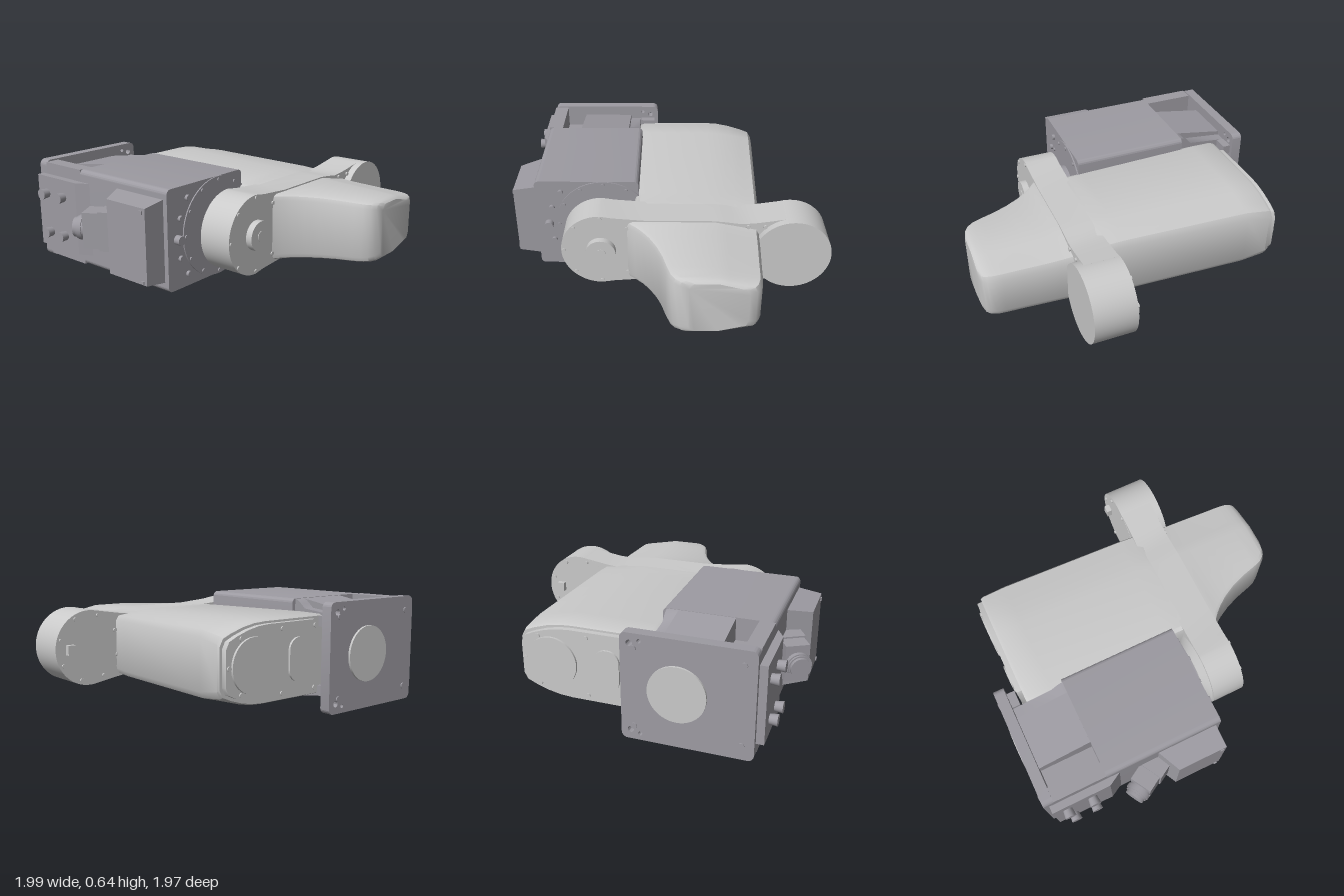
import * as THREE from 'three';
import { toCreasedNormals } from 'three/addons/utils/BufferGeometryUtils.js';

const CY = 0.33; // height of the mechanical centre line

export function createModel() {
  const model = new THREE.Group();
  model.name = 'foldedArm';
  const mat = (name, color) => Object.assign(new THREE.MeshStandardMaterial({ color }), { name });
  const light = mat('lightGrey', 0xcacaca);
  const base = mat('baseGrey', 0x9d9ba2);

  const add = (name, geometry, material) => {
    const mesh = new THREE.Mesh(geometry, material);
    mesh.name = name;
    model.add(mesh);
    return mesh;
  };
  const box = (name, m, x0, x1, y0, y1, z0, z1) => {
    const mesh = add(name, new THREE.BoxGeometry(x1 - x0, y1 - y0, z1 - z0), m);
    mesh.position.set((x0 + x1) / 2, (y0 + y1) / 2, (z0 + z1) / 2);
  };
  // Cylinder lying along z
  const disc = (name, m, x, y, r, z0, z1, seg = 48) => {
    const g = new THREE.CylinderGeometry(r, r, z1 - z0, seg).rotateX(Math.PI / 2);
    add(name, g, m).position.set(x, y, (z0 + z1) / 2);
  };
  const boltRing = (name, m, x, r, count, z0, z1, start = 0) => {
    for (let i = 0; i < count; i++) {
      const a = start + (i / count) * Math.PI * 2;
      disc(name, m, x + r * Math.cos(a), CY + r * Math.sin(a), 0.012, z0, z1, 10);
    }
  };
  const extrude = (name, m, shape, z0, z1) => {
    const g = new THREE.ExtrudeGeometry(shape, { depth: z1 - z0, bevelEnabled: false, curveSegments: 24 });
    g.translate(0, 0, z0);
    add(name, toCreasedNormals(g, 0.6), m);
  };
  const roundRect = (x0, x1, y0, y1, r) => {
    const s = new THREE.Shape();
    s.moveTo(x0 + r, y0);
    s.lineTo(x1 - r, y0).absarc(x1 - r, y0 + r, r, -Math.PI / 2, 0);
    s.lineTo(x1, y1 - r).absarc(x1 - r, y1 - r, r, 0, Math.PI / 2);
    s.lineTo(x0 + r, y1).absarc(x0 + r, y1 - r, r, Math.PI / 2, Math.PI);
    s.lineTo(x0, y0 + r).absarc(x0 + r, y0 + r, r, Math.PI, Math.PI * 1.5);
    return s;
  };
  const polygon = (pts) => new THREE.Shape(pts.map(([x, y]) => new THREE.Vector2(x, y)));
  // Solid mirrored about the centre line, from [depth behind the front, half height] points
  const slab = (name, pts, x0, x1) => {
    const outline = [...pts.map(([z, h]) => [z, CY + h]), ...pts.slice().reverse().map(([z, h]) => [z, CY - h])];
    const g = new THREE.ExtrudeGeometry(polygon(outline), { depth: x1 - x0, bevelEnabled: false });
    add(name, toCreasedNormals(g.rotateY(Math.PI / 2), 0.7), base).position.x = x0;
  };

  // Mounting plate with corner holes
  const plate = roundRect(-0.8, -0.055, 0.005, 0.645, 0.035);
  for (const [x, dy, r] of [[-0.165, 0.28, 0.012], [-0.11, 0.262, 0.018]]) for (const s of [-1, 1]) {
    const hole = new THREE.Path();
    hole.absarc(x, CY - 0.005 + s * dy, r, 0, Math.PI * 2);
    plate.holes.push(hole);
  }
  extrude('mountingPlate', base, plate, -0.975, -0.91);
  disc('mountingDisc', light, -0.375, CY, 0.165, -0.988, -0.97);
  for (const x of [-0.73, -0.13]) for (const y of [0.09, 0.56]) disc('plateBolt', base, x, y, 0.018, -0.982, -0.97, 12);
  for (const y of [0.13, 0.53]) box('plateLug', base, -0.175, -0.08, y - 0.03, y + 0.03, -0.91, -0.86);

  // Base housing, full depth in front, with a slot and sloping faces behind
  extrude('baseHousing', base, roundRect(-0.8, -0.155, 0.025, 0.635, 0.03), -0.58, 0.16);
  box('housingSideWall', base, -0.8, -0.71, 0.025, 0.635, -0.91, -0.58);
  box('slotFloor', base, -0.71, -0.58, 0.16, 0.5, -0.91, -0.58);
  slab('housingRamp', [[0.58, 0.303], [0.91, 0.25]], -0.58, -0.25);
  slab('housingShoulder', [[0.58, 0.303], [0.605, 0.295], [0.63, 0.275], [0.66, 0.25], [0.91, 0.225]], -0.25, -0.18);
  box('undersideCover', base, -0.55, -0.28, 0.06, 0.085, -0.88, -0.68);
  for (const x of [-0.53, -0.3]) for (const z of [-0.86, -0.7]) box('coverScrew', base, x - 0.01, x + 0.01, 0.054, 0.065, z - 0.01, z + 0.01);

  // Shoulder bearing on the front of the base
  disc('bearingRing', base, -0.375, CY, 0.305, 0.15, 0.168, 64);
  boltRing('bearingBolt', base, -0.375, 0.285, 12, 0.16, 0.176);
  disc('bearingNeck', base, -0.375, CY, 0.135, 0.16, 0.21);
  const collar = new THREE.CylinderGeometry(0.235, 0.15, 0.04, 48).rotateX(Math.PI / 2);
  add('linkCollar', collar, light).position.set(-0.375, CY, 0.225);
  for (const [x, y] of [[-0.64, 0.1], [-0.7, 0.21], [-0.7, 0.45], [-0.64, 0.56]]) disc('frontBolt', base, x, y, 0.018, 0.155, 0.178, 12);
  disc('frontStop', base, -0.725, CY, 0.028, 0.155, 0.2, 20);

  // Tapered connector box on the left flank of the base
  const flank = polygon([[-0.795, 0.13], [-0.94, 0.13], [-0.94, -0.18], [-0.795, -0.25]]);
  const flankGeo = new THREE.ExtrudeGeometry(flank, { depth: 1, bevelEnabled: false });
  const fp = flankGeo.attributes.position;
  for (let i = 0; i < fp.count; i++) {
    const half = fp.getX(i) < -0.9 ? 0.225 : 0.247;
    fp.setXYZ(i, fp.getX(i), CY + (fp.getZ(i) > 0.5 ? -half : half), fp.getY(i));
  }
  flankGeo.computeVertexNormals();
  add('connectorBox', flankGeo, base);
  for (const y of [0.12, 0.53]) box('boxScrew', base, -0.948, -0.938, y - 0.01, y + 0.01, 0.09, 0.11);

  // Angled plug beside the connector box
  const plug = new THREE.Group();
  plug.name = 'anglePlug';
  const plugPart = (name, g, y) => {
    const mesh = new THREE.Mesh(g, base);
    mesh.name = name;
    mesh.position.y = y;
    plug.add(mesh);
  };
  plugPart('plugFoot', new THREE.BoxGeometry(0.16, 0.1, 0.24), 0.04);
  plugPart('plugBody', new THREE.BoxGeometry(0.14, 0.11, 0.22), 0.135);
  plugPart('plugBarrel', new THREE.CylinderGeometry(0.068, 0.068, 0.08, 24), 0.2);
  plugPart('plugCollar', new THREE.CylinderGeometry(0.075, 0.075, 0.025, 24), 0.215);
  plugPart('plugTip', new THREE.CylinderGeometry(0.06, 0.06, 0.03, 24), 0.245);
  plug.rotation.set(-Math.PI / 2, Math.PI / 6, 0, 'YXZ');
  plug.position.set(-0.808, CY, -0.25);
  model.add(plug);

  // Service panel with small fittings
  box('servicePanel', base, -0.845, -0.795, 0.1, 0.56, -0.945, -0.58);
  const wedge = new THREE.ExtrudeGeometry(polygon([[-0.795, -0.58], [-0.845, -0.58], [-0.795, -0.49]]), { depth: 0.46, bevelEnabled: false });
  add('panelWedge', wedge.rotateX(Math.PI / 2), base).position.y = 0.56;
  for (const [y, z] of [[0.45, -0.86], [0.45, -0.7], [0.2, -0.84], [0.2, -0.7]]) {
    const g = new THREE.CylinderGeometry(0.034, 0.028, 0.05, 16).rotateZ(Math.PI / 2);
    add('panelFitting', g, base).position.set(-0.868, y, z);
  }

  // Cross link: round shoulder end, flush with the forearm, waisted toward the elbow drum
  const link = new THREE.Shape();
  const waist = [[-0.3, 0.228], [-0.1, 0.212], [0.3, 0.212], [0.38, 0.203], [0.46, 0.192], [0.54, 0.198], [0.62, 0.21], [0.72, 0.226]];
  link.absarc(-0.375, CY, 0.24, Math.PI / 2, Math.PI * 1.5);
  waist.forEach(([x, h]) => link.lineTo(x, CY - h));
  waist.slice().reverse().forEach(([x, h]) => link.lineTo(x, CY + h));
  extrude('crossLink', light, link, 0.24, 0.45);
  disc('linkHub', light, -0.375, CY, 0.09, 0.44, 0.49);
  disc('hubCap', light, -0.375, CY, 0.032, 0.485, 0.494, 24);
  boltRing('linkBolt', light, -0.375, 0.223, 8, 0.445, 0.457);
  disc('elbowDrum', light, 0.768, CY, 0.231, 0.238, 0.495, 64);
  boltRing('elbowBolt', light, 0.768, 0.205, 8, 0.228, 0.24, 0.3);
  box('elbowSensor', light, 0.88, 0.93, CY - 0.03, CY + 0.03, 0.205, 0.24);
  for (const s of [-1, 1]) for (const x of [0.5, 0.6]) disc('neckBolt', light, x, CY + s * 0.175, 0.012, 0.448, 0.46, 10);

  // Forearm shell lofted along z: [z, left, right, half height, flank half height, bulge]
  const sections = [
    [-0.82, -0.18, 0.62, 0.225, 0.115, 0.025],
    [-0.8, -0.185, 0.622, 0.233, 0.125, 0.025],
    [-0.65, -0.185, 0.615, 0.235, 0.15, 0.012],
    [0.14, -0.18, 0.58, 0.216, 0.155, 0.005],
    [0.24, -0.18, 0.575, 0.213, 0.15, 0.003],
    [0.26, -0.215, 0.574, 0.212, 0.15, 0],
    [0.45, -0.215, 0.565, 0.204, 0.12, 0],
    [0.49, -0.17, 0.563, 0.202, 0.117, 0],
    [0.53, -0.133, 0.562, 0.2, 0.115, 0],
    [0.59, -0.09, 0.56, 0.198, 0.113, 0],
    [0.67, -0.047, 0.556, 0.195, 0.112, 0],
    [0.76, -0.012, 0.551, 0.191, 0.111, 0],
    [0.86, 0.016, 0.547, 0.187, 0.11, 0],
    [0.91, 0.033, 0.542, 0.184, 0.109, 0],
    [0.945, 0.058, 0.53, 0.181, 0.106, 0],
    [0.967, 0.09, 0.51, 0.176, 0.1, 0],
    [0.98, 0.14, 0.47, 0.164, 0.09, 0],
  ];
  const ring = ([, xl, xr, h, s, b]) => {
    const r = 0.035, c = 0.3;
    const half = [[xl, h - r], [xl + r * 0.3, h - r * 0.3], [xl + r, h], [c, h]];
    for (const t of [0.25, 0.5, 0.75, 0.93]) half.push([c + (xr - c) * t, h + (s + 0.03 - h) * t + b * 3.2 * t * (1 - t)]);
    half.push([xr, s]);
    return [...half, ...half.slice().reverse().map(([x, y]) => [x, -y])];
  };
  const loft = (rows) => {
    const pos = [], idx = [];
    const n = ring(rows[0]).length;
    rows.forEach((row) => ring(row).forEach(([x, y]) => pos.push(x, CY + y, row[0])));
    for (let k = 0; k < rows.length - 1; k++) for (let i = 0; i < n; i++) {
      const a = k * n + i, b = k * n + (i + 1) % n;
      idx.push(a, a + n, b, b, a + n, b + n);
    }
    const last = (rows.length - 1) * n;
    for (let i = 1; i < n - 1; i++) idx.push(0, i, i + 1, last, last + i + 1, last + i);
    const g = new THREE.BufferGeometry();
    g.setAttribute('position', new THREE.Float32BufferAttribute(pos, 3));
    g.setIndex(idx);
    return toCreasedNormals(g, 0.6);
  };
  add('forearmShell', loft(sections), light);

  // Rear cover with round and oblong lids
  add('rearCover', loft([[-0.853, -0.1, 0.605, 0.213, 0.1, 0.025], [-0.815, -0.1, 0.605, 0.213, 0.1, 0.025]]), light);
  disc('roundLid', light, 0.415, CY, 0.155, -0.866, -0.85);
  extrude('oblongLid', light, roundRect(0, 0.15, CY - 0.125, CY + 0.125, 0.07), -0.866, -0.85);
  for (const [x, y] of [[0.2, 0.18], [0.2, -0.18], [0.585, 0], [-0.06, 0.18], [-0.06, -0.18], [0.5, 0.15], [0.5, -0.15]])
    disc('coverBolt', light, x, CY + y, 0.014, -0.86, -0.85, 12);

  return model;
}
